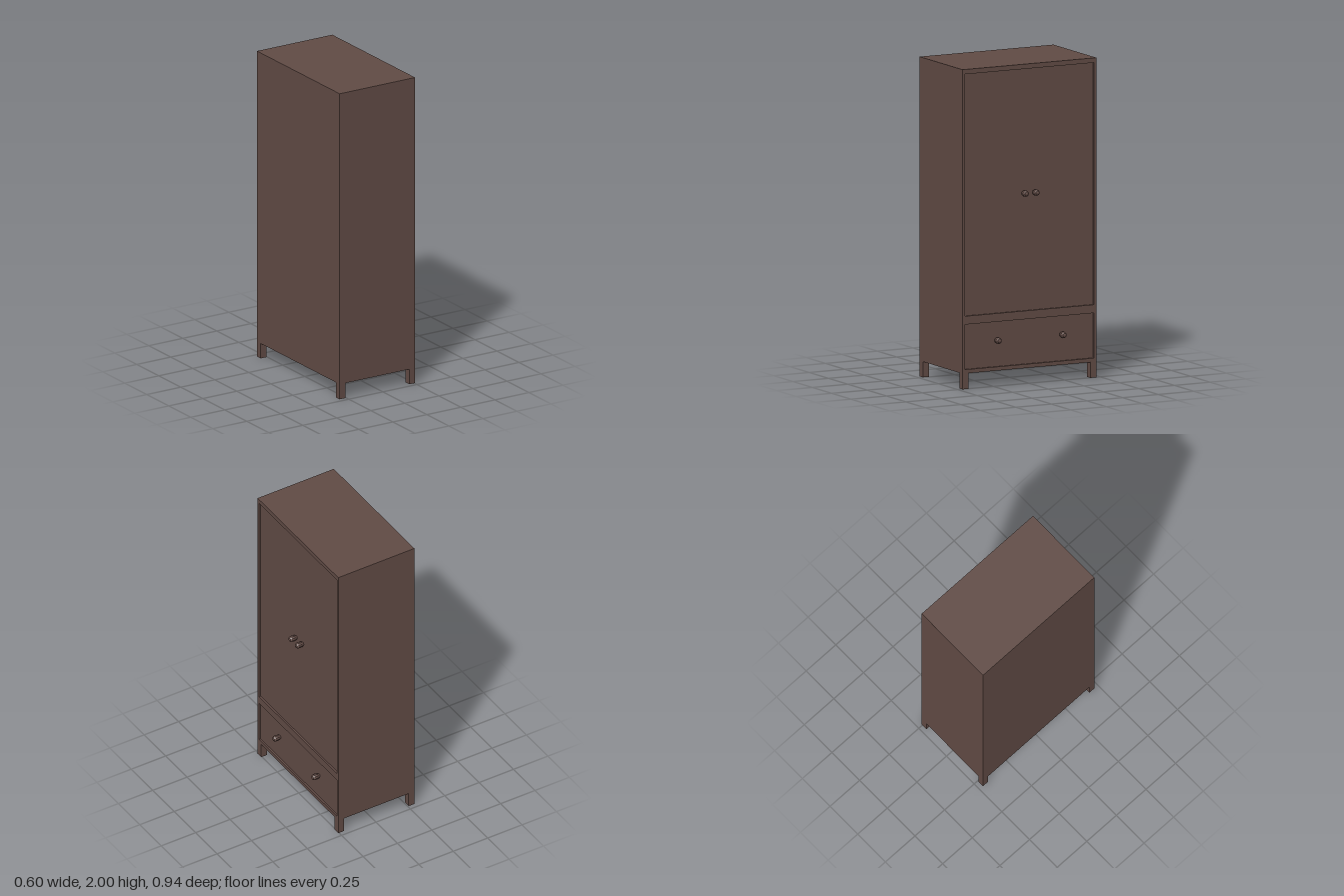
import * as THREE from 'three';

export function createModel() {
  const group = new THREE.Group();
  const wood = new THREE.MeshStandardMaterial({ color: 0x604a44, flatShading: true });
  wood.name = 'dark brown wood';

  const add = (name, geometry, x = 0, y = 0, z = 0) => {
    const mesh = new THREE.Mesh(geometry, wood);
    mesh.name = name;
    mesh.position.set(x, y, z);
    group.add(mesh);
    return mesh;
  };
  // Box given by its limits
  const box = (name, x0, x1, y0, y1, z0, z1) => add(name,
    new THREE.BoxGeometry(x1 - x0, y1 - y0, z1 - z0),
    (x0 + x1) / 2, (y0 + y1) / 2, (z0 + z1) / 2);
  const rect = (path, w, y0, y1) => path.moveTo(-w, y0).lineTo(w, y0).lineTo(w, y1).lineTo(-w, y1).closePath();

  const BACK = -0.298, FRONT = 0.256, HALF = 0.47, BOTTOM = 0.098, INNER = 0.453;
  const FRAME = 0.022, RECESS = 0.012;
  const door = [0.456, 1.97], drawer = [0.122, 0.404];

  // Cabinet carcass
  box('carcass', BACK, FRONT - FRAME, BOTTOM, 2, -HALF, HALF);

  // Face frame with openings for the doors and the drawer
  const shape = new THREE.Shape();
  rect(shape, HALF, BOTTOM, 2);
  for (const [y0, y1] of [door, drawer]) {
    const hole = new THREE.Path();
    rect(hole, INNER, y0, y1);
    shape.holes.push(hole);
  }
  const frame = new THREE.ExtrudeGeometry(shape, { depth: FRAME, bevelEnabled: false });
  frame.rotateY(Math.PI / 2);
  add('faceFrame', frame, FRONT - FRAME);

  // Recessed panels
  box('doorPanel', FRONT - FRAME, FRONT - RECESS, ...door, -INNER, INNER);
  box('drawerFront', FRONT - FRAME, FRONT - RECESS, ...drawer, -INNER, INNER);

  // Four short square legs
  const LEG = 0.042;
  for (const x of [BACK, FRONT - LEG]) {
    for (const z of [-HALF, HALF - LEG]) box('leg', x, x + LEG, 0, BOTTOM, z, z + LEG);
  }

  // Rounded knobs, turned to point out of the face
  const profile = [[0.012, 0], [0.017, 0.01], [0.02, 0.025], [0.019, 0.039], [0.013, 0.049], [0, 0.053]]
    .map(([r, h]) => new THREE.Vector2(r, h));
  const knob = new THREE.LatheGeometry(profile, 10);
  knob.rotateZ(-Math.PI / 2);
  for (const side of [-1, 1]) {
    add('doorKnob', knob, FRONT - RECESS, 1.193, side * 0.038);
    add('drawerKnob', knob, FRONT - RECESS, 0.288, side * 0.228);
  }
  return group;
}
